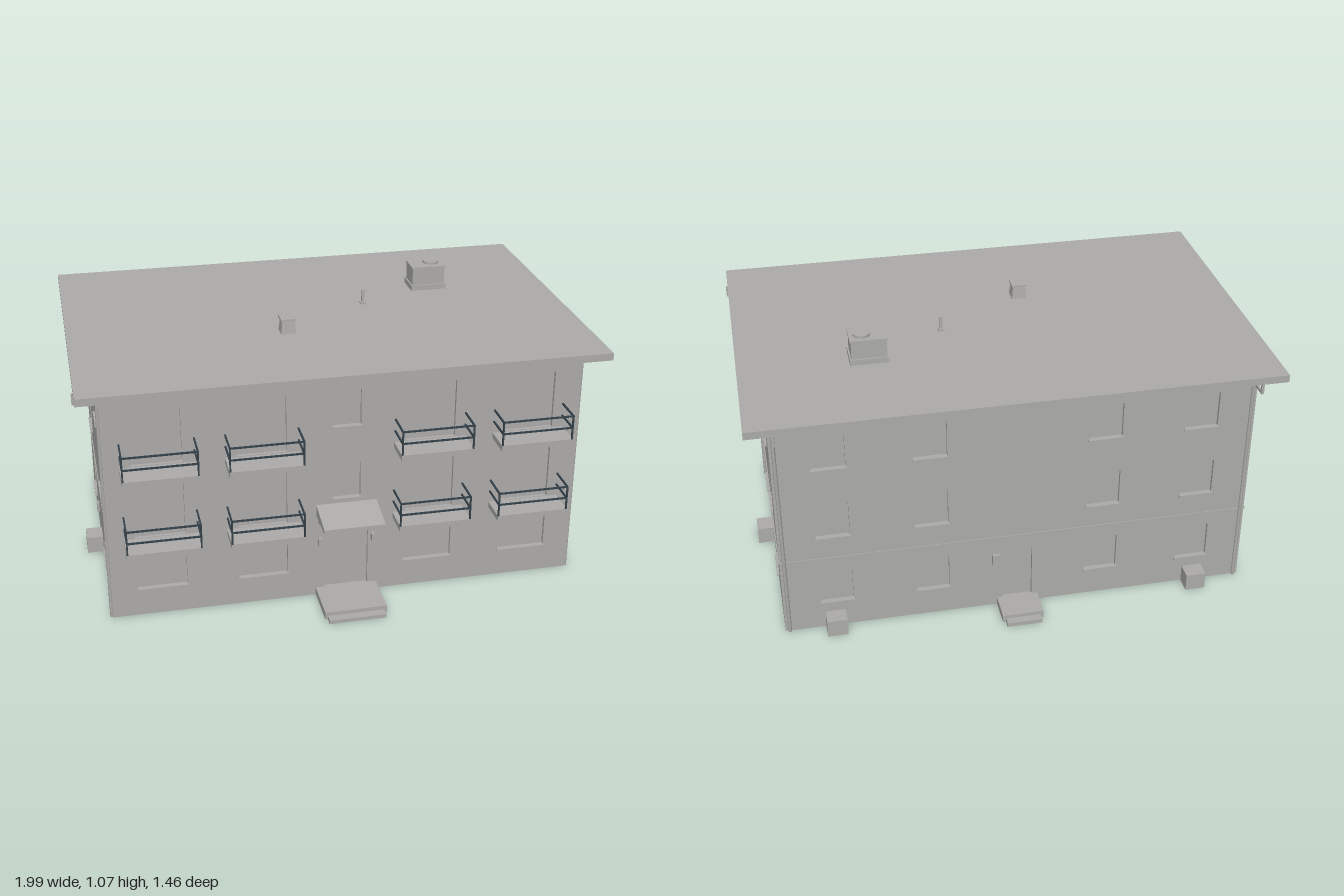
import * as THREE from 'three';

const X = 0.905, ZF = 0.515, ZB = -0.585, H = 0.94, T = 0.016;

export function createModel() {
  const model = new THREE.Group();
  model.name = 'apartmentBuilding';
  const plaster = new THREE.MeshStandardMaterial({ color: 0xadaca9, side: THREE.DoubleSide });
  plaster.name = 'plaster grey';
  const metal = new THREE.MeshStandardMaterial({ color: 0x34414a });
  metal.name = 'railing slate';

  function add(parent, name, geo, mat = plaster) {
    const m = new THREE.Mesh(geo, mat);
    m.name = name;
    parent.add(m);
    return m;
  }
  // Box given by its minimum and maximum on each axis
  function box(parent, name, x0, x1, y0, y1, z0, z1, mat) {
    const m = add(parent, name, new THREE.BoxGeometry(x1 - x0, y1 - y0, z1 - z0), mat);
    m.position.set((x0 + x1) / 2, (y0 + y1) / 2, (z0 + z1) / 2);
    return m;
  }

  // Wall with recessed openings: [u0, u1, y0, y1, hasSill]; local +z points outward
  function wall(name, u0, u1, openings) {
    const g = new THREE.Group();
    g.name = name;
    const shape = new THREE.Shape();
    shape.moveTo(u0, 0).lineTo(u1, 0).lineTo(u1, H).lineTo(u0, H).closePath();
    for (const [a, b, c, d, sill] of openings) {
      const hole = new THREE.Path();
      hole.moveTo(a, c).lineTo(a, d).lineTo(b, d).lineTo(b, c).closePath();
      shape.holes.push(hole);
      const pane = add(g, 'pane', new THREE.PlaneGeometry(b - a, d - c));
      pane.position.set((a + b) / 2, (c + d) / 2, -T + 0.003);
      if (sill) box(g, 'windowSill', a - 0.004, b + 0.004, c - 0.005, c + 0.002, -T, 0.009);
    }
    const geo = new THREE.ExtrudeGeometry(shape, { depth: T, bevelEnabled: false });
    geo.translate(0, 0, -T);
    add(g, 'wallPanel', geo);
    model.add(g);
    return g;
  }

  const rows = [[0.117, 0.265], [0.418, 0.566], [0.719, 0.865]];
  const bays = [-0.71, -0.323, 0.323, 0.71];

  // Front: ground windows, balcony doors, stair windows, entrance
  const front = [[-0.085, 0.085, 0.03, 0.33, false]];
  for (const x of bays) {
    front.push([x - 0.094, x + 0.094, 0.113, 0.25, true]);
    front.push([x - 0.094, x + 0.094, 0.335, 0.566, false]);
    front.push([x - 0.094, x + 0.094, 0.636, 0.865, false]);
  }
  for (const [y0, y1] of rows.slice(1)) front.push([-0.053, 0.053, y0, y1, true]);
  wall('frontWall', -X, X, front).position.z = ZF;

  // Back: three rows of windows and the back door
  const back = [[-0.057, 0.057, 0.03, 0.25, false]];
  for (const x of [-0.7, -0.33, 0.33, 0.7])
    for (const [y0, y1] of rows) back.push([x - 0.063, x + 0.063, y0, y1, true]);
  const backWall = wall('backWall', -X, X, back);
  backWall.position.z = ZB;
  backWall.rotation.y = Math.PI;
  box(backWall, 'beltCourse', -X, X, 0.318, 0.326, -0.002, 0.004);
  box(backWall, 'doorBox', -0.1, -0.072, 0.2, 0.245, 0, 0.012);

  // Sides: mirrored
  for (const s of [1, -1]) {
    const span = (z0, z1) => (s > 0 ? [-z1, -z0] : [z0, z1]);
    const open = [[...span(-0.057, 0.006), 0.844, 0.883, false]];
    for (const [y0, y1] of rows) {
      open.push([...span(0.2, 0.326), y0, y1, true]);
      open.push([...span(-0.381, -0.256), y0, y1, true]);
    }
    const g = wall(s > 0 ? 'leftWall' : 'rightWall', ...span(ZB, ZF), open);
    g.position.x = s * X;
    g.rotation.y = s * Math.PI / 2;
    box(g, 'beltCourse', ...span(ZB, ZF), 0.318, 0.326, -0.002, 0.004);
    box(g, 'meterBox', ...span(0.395, 0.411), 0.234, 0.265, 0, 0.01);
    box(g, 'tap', ...span(0.427, 0.435), 0.046, 0.054, 0, 0.006);
    if (s < 0) box(g, 'lowerMeterBox', ...span(-0.14, -0.12), 0.11, 0.15, 0, 0.01);
    box(g, 'ventHousing', ...(s > 0 ? span(-0.006, 0.072) : span(-0.06, 0.02)), 0, 0.07, 0, 0.065);
    box(backWall, 'ventHousing', s * 0.71 - 0.039, s * 0.71 + 0.039, 0, 0.07, 0, 0.065);
  }

  // Flat overhanging roof
  box(model, 'roof', -0.988, 0.988, 0.934, 0.963, -0.672, 0.608);

  // Balconies with open railings
  for (const x of bays) for (const y of [0.311, 0.611]) {
    const b = new THREE.Group();
    b.name = 'balcony';
    const w = 0.139, z0 = ZF, z1 = 0.63, r = 0.006, top = 0.12;
    box(b, 'balconySlab', -w, w, 0, 0.022, z0 - 0.02, z1);
    for (const h of [top, 0.072]) {
      box(b, 'frontRail', -w, w, h - r, h, z1 - r, z1, metal);
      for (const s of [-1, 1]) {
        const a = s < 0 ? -w : w - r;
        box(b, 'sideRail', a, a + r, h - r, h, z0, z1 - r, metal);
      }
    }
    for (const s of [-1, 1]) {
      const a = s < 0 ? -w : w - r;
      box(b, 'railPost', a, a + r, 0.02, top, z1 - r, z1, metal);
    }
    b.position.set(x + Math.sign(x) * (Math.abs(x) > 0.5 ? -0.004 : -0.003), y, 0);
    model.add(b);
  }

  // Entrance canopy: sloped wedge extruded along x
  const wedge = new THREE.Shape();
  wedge.moveTo(ZF, 0.352).lineTo(0.66, 0.352).lineTo(0.66, 0.368).lineTo(ZF, 0.397).closePath();
  const canopyGeo = new THREE.ExtrudeGeometry(wedge, { depth: 0.234, bevelEnabled: false });
  canopyGeo.rotateY(-Math.PI / 2);
  canopyGeo.translate(0.117, 0, 0);
  add(model, 'entranceCanopy', canopyGeo);
  for (const x of [-0.105, 0.103]) {
    box(model, 'canopyBracket', x - 0.003, x + 0.003, 0.315, 0.352, ZF, 0.53);
    box(model, 'canopyArm', x - 0.003, x + 0.003, 0.343, 0.352, ZF, 0.62);
    box(model, 'wallLamp', x - 0.006, x + 0.006, 0.223, 0.255, ZF, 0.533);
  }

  // Entrance steps
  box(model, 'frontLowerStep', -0.11, 0.11, 0, 0.015, ZF, 0.728);
  box(model, 'frontUpperStep', -0.12, 0.12, 0, 0.031, ZF, 0.695);
  box(model, 'backLowerStep', -0.068, 0.068, 0, 0.017, -0.73, ZB);
  box(model, 'backUpperStep', -0.08, 0.08, 0, 0.031, -0.7, ZB);

  // Downpipes: eave outlet, return to the wall, then down; local +z points outward
  function downpipe(x, z, angle) {
    const g = new THREE.Group();
    g.name = 'downpipe';
    const r = 0.005;
    box(g, 'pipeOutlet', -r, r, 0.896, 0.94, 0.08, 0.09);
    box(g, 'pipeReturn', -r, r, 0.896, 0.906, 0, 0.09);
    const drop = add(g, 'pipeDrop', new THREE.CylinderGeometry(0.007, 0.007, 0.934, 8));
    drop.position.set(0, 0.467, 0.004);
    g.position.set(x, 0, z);
    g.rotation.y = angle;
    model.add(g);
  }
  for (const s of [-1, 1]) {
    downpipe(s * X, 0.505, s * Math.PI / 2);
    downpipe(s * 0.888, ZB, Math.PI);
  }

  // Large chimney with round flue
  box(model, 'chimneyPlinth', 0.427, 0.573, 0.96, 0.985, -0.288, -0.177);
  box(model, 'chimneyBody', 0.433, 0.567, 0.98, 1.055, -0.281, -0.183);
  box(model, 'chimneyCap', 0.43, 0.57, 1.053, 1.061, -0.284, -0.18);
  const flue = add(model, 'chimneyFlue', new THREE.CylinderGeometry(0.032, 0.032, 0.02, 20));
  flue.position.set(0.522, 1.06, -0.235);

  // Small tapered vent
  const vent = add(model, 'roofVent', new THREE.CylinderGeometry(0.033, 0.042, 0.06, 4).toNonIndexed());
  vent.geometry.computeVertexNormals();
  vent.geometry.rotateY(Math.PI / 4);
  vent.position.set(-0.153, 0.99, 0.147);
  box(model, 'roofVentCap', -0.183, -0.123, 1.015, 1.022, 0.117, 0.177);

  // Vent pole
  box(model, 'ventPole', 0.193, 0.203, 0.96, 1.022, -0.085, -0.075);
  box(model, 'ventPoleBase', 0.187, 0.209, 0.96, 0.972, -0.091, -0.069);
  return model;
}
